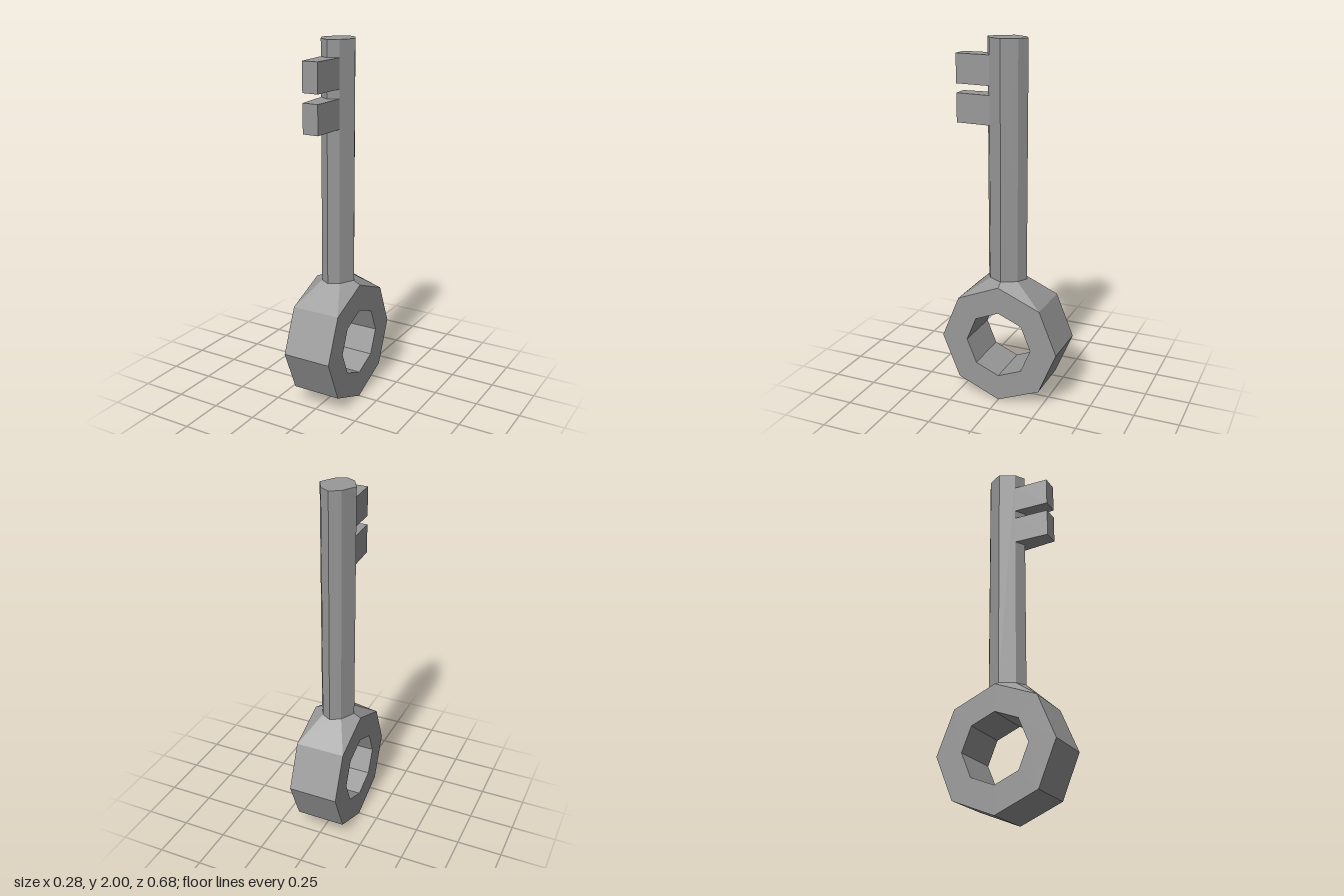
import * as THREE from 'three';

const material = new THREE.MeshStandardMaterial({ color: 0x999999 });

// Fans each polygon (counter-clockwise from outside), with one averaged normal per polygon
function facesMesh(name, faces) {
  const pos = [], nor = [];
  for (const f of faces) {
    const pts = f.map((c) => new THREE.Vector3(...c));
    const normal = new THREE.Vector3();
    pts.forEach((a, i) => normal.add(a.clone().cross(pts[(i + 1) % pts.length])));
    normal.normalize();
    for (let i = 1; i < f.length - 1; i++) {
      pos.push(...f[0], ...f[i], ...f[i + 1]);
      for (let j = 0; j < 3; j++) nor.push(normal.x, normal.y, normal.z);
    }
  }
  const geo = new THREE.BufferGeometry();
  geo.setAttribute('position', new THREE.Float32BufferAttribute(pos, 3));
  geo.setAttribute('normal', new THREE.Float32BufferAttribute(nor, 3));
  const mesh = new THREE.Mesh(geo, material);
  mesh.name = name;
  return mesh;
}

export function createModel() {
  const group = new THREE.Group();
  group.name = 'key';

  const half = 0.1375, R = 0.34, r = 0.19, neckY = 0.7, topY = 2;
  const d = Math.SQRT1_2;

  // Octagonal ring bow; its two top facets are replaced by the collar
  const at = (x, k, rad) => [x, R + rad * Math.sin(k * Math.PI / 4), rad * Math.cos(k * Math.PI / 4)];
  const ring = [];
  for (let k = 0; k < 8; k++) {
    const n = k + 1;
    ring.push([at(half, k, R), at(half, k, r), at(half, n, r), at(half, n, R)]);
    ring.push([at(-half, k, R), at(-half, n, R), at(-half, n, r), at(-half, k, r)]);
    ring.push([at(-half, k, r), at(-half, n, r), at(half, n, r), at(half, k, r)]);
    if (k !== 1 && k !== 2)
      ring.push([at(-half, k, R), at(half, k, R), at(half, n, R), at(-half, n, R)]);
  }
  group.add(facesMesh('bow', ring));

  // Collar blending the ring into the shaft: a five-sided front and two cheeks, mirrored to the back
  const A = [half, R + R * d, R * d], B = [half, 2 * R, 0];
  const C = [0, neckY, 0.113], D = [0.055, neckY, 0.08], E = [0.0985, neckY, 0];
  const flipX = ([x, y, z]) => [-x, y, z];
  const flipZ = ([x, y, z]) => [x, y, -z];
  const cheek = [D, A, B, E];
  const front = [
    [C, flipX(D), flipX(A), A, D],
    cheek,
    cheek.map(flipX).reverse(),
  ];
  // Reversing keeps the fan's starting corner by moving it back to the front
  const back = front.map((f) => [f[0], ...f.slice(1).reverse()].map(flipZ));
  group.add(facesMesh('collar', [...front, ...back]));

  // Slightly flattened eight-sided shaft
  const section = [[0, 0.113], [0.055, 0.08], [0.0985, 0], [0.055, -0.08],
    [0, -0.113], [-0.055, -0.08], [-0.0985, 0], [-0.055, 0.08]];
  const p = (k, y) => [section[k % 8][0], y, section[k % 8][1]];
  const shaft = [section.map((_, k) => p(k, topY))];
  for (let k = 0; k < 8; k++)
    shaft.push([p(k, neckY), p(k + 1, neckY), p(k + 1, topY), p(k, topY)]);
  group.add(facesMesh('shaft', shaft));

  // Two tapered teeth on the front of the shaft
  const tooth = new THREE.Shape([[-0.055, -0.08], [-0.044, -0.275], [0.044, -0.275], [0.055, -0.08]]
    .map(([x, y]) => new THREE.Vector2(x, y)));
  for (const [name, y] of [['lowerTooth', 1.548], ['upperTooth', 1.754]]) {
    const geo = new THREE.ExtrudeGeometry(tooth, { depth: 0.157, bevelEnabled: false });
    geo.rotateX(-Math.PI / 2);
    const mesh = new THREE.Mesh(geo, material);
    mesh.name = name;
    mesh.position.y = y;
    group.add(mesh);
  }
  return group;
}
